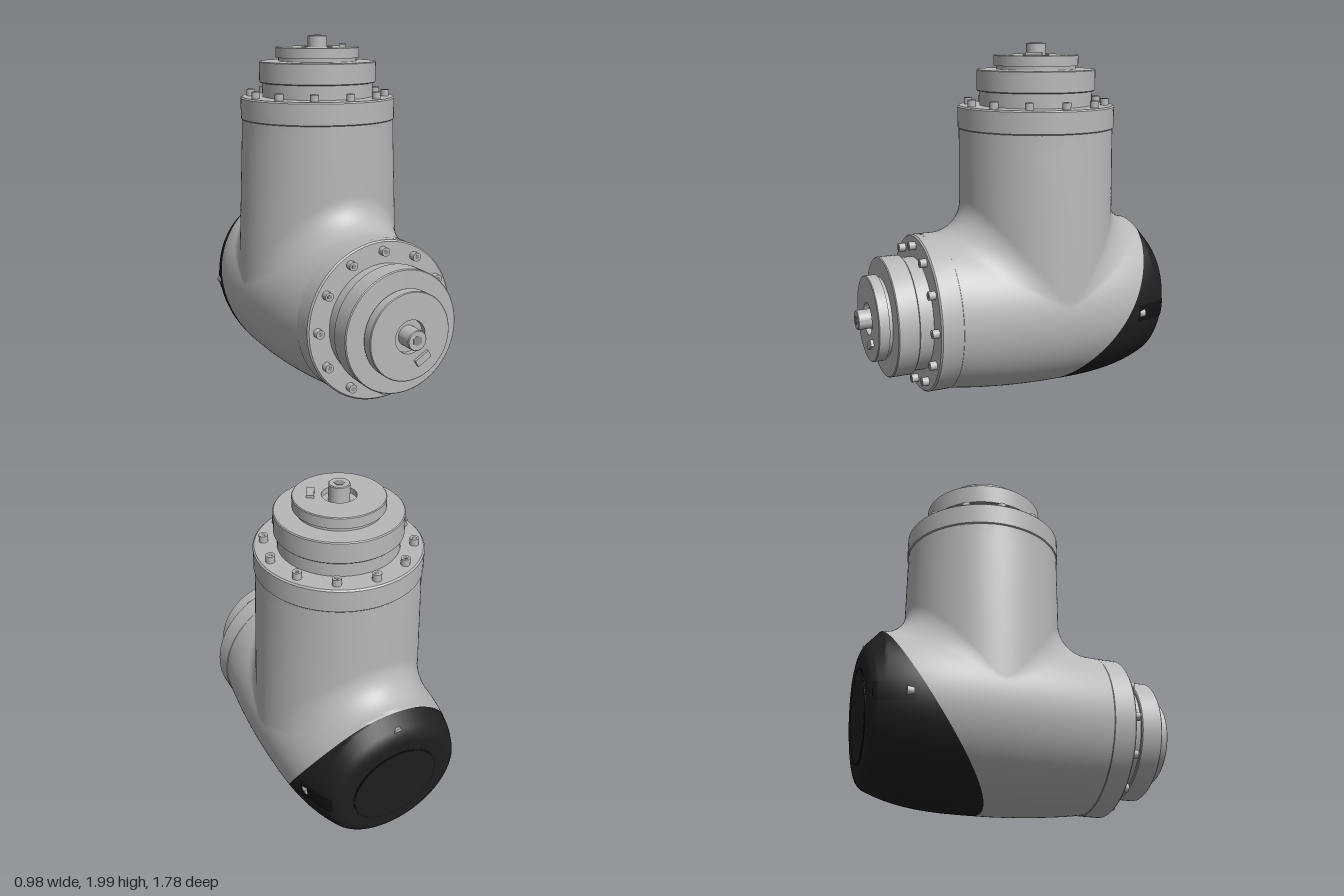
import * as THREE from 'three';
import { toCreasedNormals } from 'three/addons/utils/BufferGeometryUtils.js';

const V = (x, y, z) => new THREE.Vector3(x, y, z);
const clamp = THREE.MathUtils.clamp;
const AXIS_Z = -0.195; // vertical joint axis
const AXIS_Y = 0.505;  // horizontal joint axis
const CENTER = V(0, 0.6, AXIS_Z);

// Rounded union and intersection of two distance values
const blend = (a, b, k) =>
  Math.max(k, Math.min(a, b)) - Math.hypot(Math.max(k - a, 0), Math.max(k - b, 0));
const roundMax = (a, b, k) => -blend(-a, -b, k);

// Elbow housing: upright tube filleted into a barrel, with a sloped rounded back
function housing({ x, y, z }) {
  const wide = 0.44 + 0.045 * clamp(1.5 - y, 0, 1);
  const dz = z - AXIS_Z, dy = y - AXIS_Y;
  const xs = x * 0.44 / wide;
  const tube = Math.max(Math.hypot(xs, dz, Math.min(dy, 0)) - 0.44, y - 1.6);
  const d = z + 0.2;
  const side = d > 0 ? 0.49 - 0.125 * d * d : 0.49 + 0.4 * d * d * d;
  const top = 0.447 - 1.2 * Math.max(0, -z - 0.79);
  const rho = Math.hypot(x, dy) + 1e-6;
  const up = clamp(dy / rho, 0, 1) ** 2;
  let barrel = rho - THREE.MathUtils.lerp(side, top, up);
  barrel = roundMax(barrel, -0.8187 - 0.087 * y - z, 0.04);
  barrel = Math.max(barrel, z - 0.5);
  const along = x * x / (rho * (Math.hypot(x, dz) + 1e-6));
  const k = 0.18 * clamp(1 - along, 0, 1) * clamp(dy / 0.2, 0, 1);
  return blend(tube, barrel, k + 1e-4);
}

// Point of the housing in a given direction from its centre
function hit(dir) {
  let lo = 0, hi = 1.8;
  const p = V(0, 0, 0);
  for (let i = 0; i < 28; i++) {
    const mid = (lo + hi) / 2;
    p.copy(CENTER).addScaledVector(dir, mid);
    if (housing(p) < 0) lo = mid; else hi = mid;
  }
  return p;
}

function normalAt(p) {
  const e = 0.002;
  const slope = (dx, dy, dz) =>
    housing(V(p.x + dx, p.y + dy, p.z + dz)) - housing(V(p.x - dx, p.y - dy, p.z - dz));
  return V(slope(e, 0, 0), slope(0, e, 0), slope(0, 0, e)).normalize();
}

// Grid of housing points; dirAt(u, v) gives the direction for each corner
function skin(nu, nv, dirAt, lift = 0) {
  const pos = [], nor = [], idx = [];
  for (let i = 0; i <= nu; i++) for (let j = 0; j <= nv; j++) {
    const p = hit(dirAt(i / nu, j / nv));
    const n = normalAt(p);
    p.addScaledVector(n, lift);
    pos.push(p.x, p.y, p.z);
    nor.push(n.x, n.y, n.z);
    if (i < nu && j < nv) {
      const a = i * (nv + 1) + j, b = a + nv + 1;
      idx.push(a, b, b + 1, a, b + 1, a + 1);
    }
  }
  const g = new THREE.BufferGeometry();
  g.setAttribute('position', new THREE.Float32BufferAttribute(pos, 3));
  g.setAttribute('normal', new THREE.Float32BufferAttribute(nor, 3));
  g.setIndex(idx);
  return g;
}

// Polar directions around the rear cover, and the seam angle for each azimuth
const POLE = V(0, -0.5, -0.866).normalize();
const E1 = V(1, 0, 0), E2 = POLE.clone().cross(E1);
const polar = (theta, phi) => POLE.clone().multiplyScalar(Math.cos(theta))
  .addScaledVector(E1, Math.sin(theta) * Math.cos(phi))
  .addScaledVector(E2, Math.sin(theta) * Math.sin(phi));
function seamAngle(phi) {
  let lo = 0, hi = 2.1;
  for (let i = 0; i < 24; i++) {
    const mid = (lo + hi) / 2, p = hit(polar(mid, phi));
    const t = (p.y - 0.01) / 0.945;
    if (p.z < -0.18 - 0.62 * t - 0.34 * t * (1 - t)) lo = mid; else hi = mid;
  }
  return lo;
}

export function createModel() {
  const mat = (name, color) => Object.assign(new THREE.MeshStandardMaterial({ color }), { name });
  const grey = mat('light grey', 0xb8b8b8);
  const black = mat('cover black', 0x1f1f1f);
  const dark = mat('recess black', 0x131313);
  const socket = mat('socket grey', 0x8c8c8c);

  const model = new THREE.Group();
  const add = (parent, name, geo, material, x = 0, y = 0, z = 0) => {
    const m = new THREE.Mesh(geo, material);
    m.name = name;
    m.position.set(x, y, z);
    parent.add(m);
    return m;
  };
  const lathe = pts => toCreasedNormals(
    new THREE.LatheGeometry(pts.map(p => new THREE.Vector2(...p)), 72), 0.5);

  // Housing and rear cover share the seam
  const NPHI = 144, seams = [];
  for (let j = 0; j <= NPHI; j++) seams.push(seamAngle(j / NPHI * Math.PI * 2));
  const seam = v => seams[Math.round(v * NPHI)];
  add(model, 'elbowHousing', skin(128, NPHI, (u, v) =>
    polar(seam(v) + (Math.PI - seam(v)) * u, v * Math.PI * 2)), grey);
  add(model, 'rearCover', skin(56, NPHI, (u, v) =>
    polar(seam(v) * u, v * Math.PI * 2)), black);

  // Round panel on the back of the cover
  const back = new THREE.Group();
  back.name = 'rearPanel';
  back.position.set(0, 0.48, -0.8605);
  back.quaternion.setFromUnitVectors(V(0, 1, 0), V(0, -0.087, -1).normalize());
  model.add(back);
  add(back, 'panelGroove', new THREE.CylinderGeometry(0.258, 0.258, 0.004, 64), dark);
  add(back, 'panelDisc', new THREE.CylinderGeometry(0.25, 0.25, 0.008, 64), black);

  // Screw pockets on the cover: two sides and the top
  const screw = new THREE.CylinderGeometry(0.025, 0.025, 0.035, 20).rotateX(Math.PI / 2);
  const toward = (x, y, z) => V(x, y, z).sub(CENTER).normalize();
  for (const s of [1, -1]) {
    add(model, 'sidePocket', skin(12, 6, (u, v) =>
      toward(s * (0.465 - 0.085 * u), 0.48 + s * (v - 0.5) * 0.1, -0.65 - 0.2 * u), 0.004), dark);
    add(model, 'sideScrew', screw, grey, s * 0.437, 0.48, -0.67);
  }
  add(model, 'topPocket', skin(8, 6, (u, v) =>
    toward((v - 0.5) * 0.1, 0.84 + 0.09 * u, -0.885 + 0.075 * u), 0.004), dark);
  add(model, 'topScrew', screw, grey, 0, 0.865, -0.845);

  // Stepped joint drive, built upward along y
  function drive(name, tagAngle) {
    const g = new THREE.Group();
    g.name = name;
    add(g, 'flange', lathe([[0.4, 0], [0.44, 0], [0.446, 0.006], [0.446, 0.122],
      [0.438, 0.13], [0, 0.13]]), grey);
    add(g, 'drum', lathe([[0.32, 0.12], [0.32, 0.21], [0.332, 0.21], [0.337, 0.215],
      [0.337, 0.325], [0.332, 0.33], [0, 0.33]]), grey);
    add(g, 'outputCap', lathe([[0.225, 0.32], [0.225, 0.35], [0.24, 0.35], [0.24, 0.406],
      [0.236, 0.41], [0.09, 0.41], [0.09, 0.38], [0.055, 0.38], [0.055, 0.471],
      [0.051, 0.475], [0, 0.475]]), grey);
    add(g, 'shaftSocket', new THREE.CylinderGeometry(0.028, 0.028, 0.004, 6), socket, 0, 0.475, 0);
    const tag = add(g, 'locatingTab', new THREE.BoxGeometry(0.04, 0.03, 0.09), grey,
      0.145 * Math.cos(tagAngle), 0.411, 0.145 * Math.sin(tagAngle));
    tag.rotation.y = -tagAngle;
    const boltGeo = new THREE.CylinderGeometry(0.024, 0.024, 0.045, 20);
    const holeGeo = new THREE.CylinderGeometry(0.013, 0.013, 0.004, 6);
    for (let i = 0; i < 12; i++) {
      const a = i * Math.PI / 6, x = 0.39 * Math.cos(a), z = 0.39 * Math.sin(a);
      add(g, 'flangeBolt', boltGeo, grey, x, 0.145, z);
      add(g, 'boltSocket', holeGeo, socket, x, 0.167, z);
    }
    model.add(g);
    return g;
  }
  drive('upperDrive', 0.51).position.set(0, 1.525, AXIS_Z);
  const front = drive('frontDrive', 1.05);
  front.position.set(0, AXIS_Y, 0.412);
  front.rotation.x = Math.PI / 2;

  return model;
}
